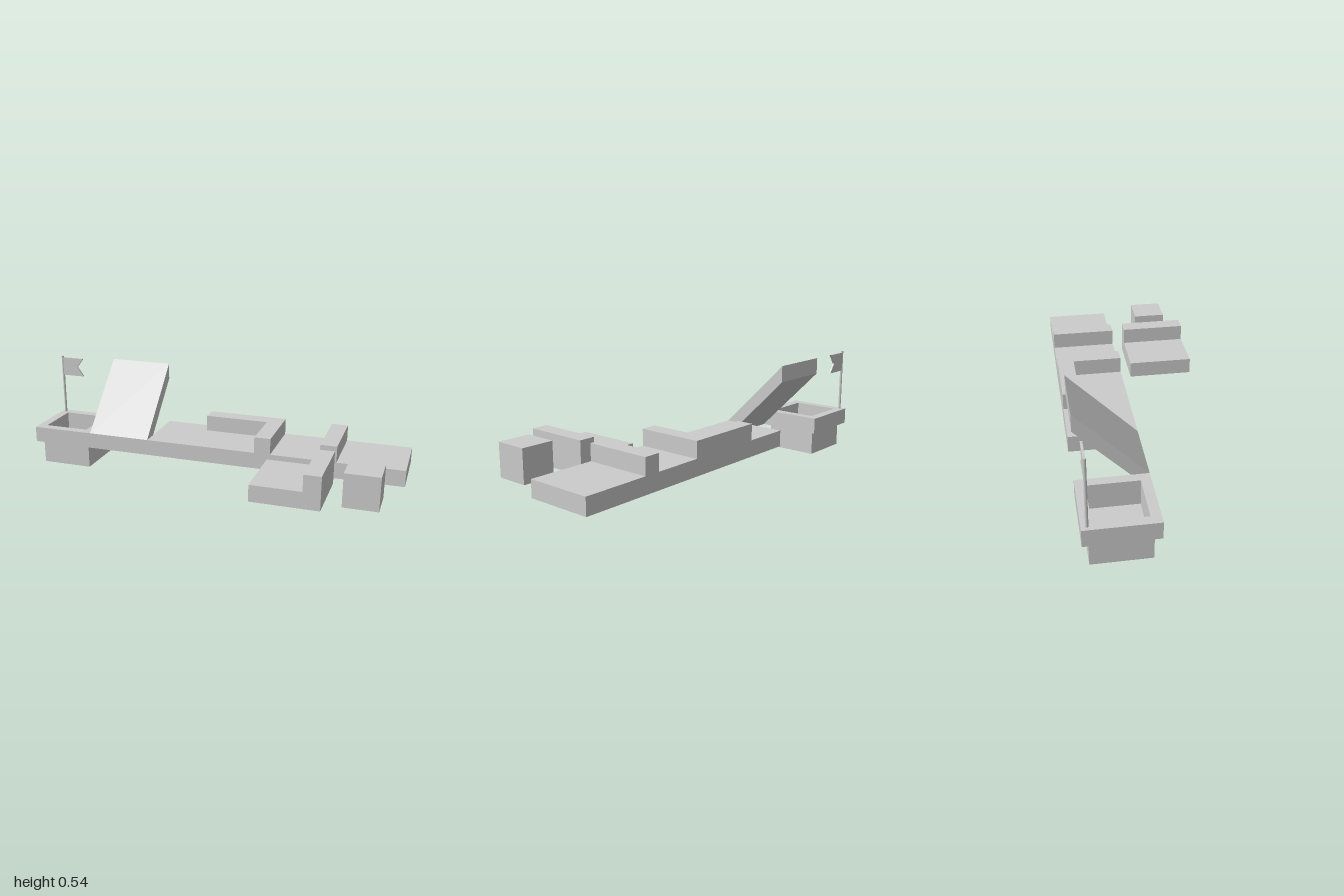
import * as THREE from 'three';

const T = 1 / 3;            // tile side
const H = T / 4;            // tile thickness, also wall height
const BASE = 0.127;         // underside of the tiles
const TOP = BASE + H;       // playing surface
const ROW = -0.2;           // z centre of the main row

export function createModel() {
  const group = new THREE.Group();
  const material = new THREE.MeshStandardMaterial({ color: 0xcccccc });

  function add(name, geometry, x = 0, y = 0, z = 0) {
    const mesh = new THREE.Mesh(geometry, material);
    mesh.name = name;
    mesh.position.set(x, y, z);
    group.add(mesh);
    return mesh;
  }

  // box given by its x, y and z ranges
  function block(name, [x0, x1], [y0, y1], [z0, z1]) {
    return add(name, new THREE.BoxGeometry(x1 - x0, y1 - y0, z1 - z0),
      (x0 + x1) / 2, (y0 + y1) / 2, (z0 + z1) / 2);
  }

  // upright square frame with a square opening
  function frame(name, outer, inner, y, height, x, z) {
    const square = (Kind, s) => new Kind([[-1, -1], [1, -1], [1, 1], [-1, 1]]
      .map(([a, b]) => new THREE.Vector2(a * s / 2, b * s / 2)));
    const shape = square(THREE.Shape, outer);
    shape.holes.push(square(THREE.Path, inner));
    const geometry = new THREE.ExtrudeGeometry(shape, { depth: height, bevelEnabled: false });
    geometry.rotateX(-Math.PI / 2);
    return add(name, geometry, x, y, z);
  }

  const rowZ = [ROW - T / 2, ROW + T / 2];
  const sideZ = [-rowZ[1], -rowZ[0]];
  const slab = [BASE, TOP];
  const wall = [TOP, TOP + H];

  // hole tile with the cup beneath it
  const cupX = -1 + T / 2;
  frame('holeTile', T, 0.24, BASE, H, cupX, ROW);
  frame('cupWall', 0.273, 0.24, 0, BASE, cupX, ROW);
  block('cupFloor', [cupX - 0.121, cupX + 0.121], [0.0005, 0.083], [ROW - 0.121, ROW + 0.121]);

  // flag on the back corner of the hole tile
  const poleX = -0.977, poleZ = -0.341;
  add('flagPole', new THREE.CylinderGeometry(0.0068, 0.0068, 0.333, 8).toNonIndexed(),
    poleX, TOP + 0.1665, poleZ);
  const pennant = new THREE.Shape([[0, 0], [0.129, 0], [0.092, 0.051], [0.129, 0.102], [0, 0.102]]
    .map(p => new THREE.Vector2(...p)));
  add('flag', new THREE.ExtrudeGeometry(pennant, { depth: 0.01, bevelEnabled: false }),
    poleX, 0.433, poleZ - 0.005);

  // banked tile: a slab sheared upward toward the back
  const bank = new THREE.BoxGeometry(T, H, T);
  const pos = bank.attributes.position;
  for (let i = 0; i < pos.count; i++) pos.setY(i, pos.getY(i) + T / 2 - pos.getZ(i));
  bank.computeVertexNormals();
  add('bankedTile', bank, -0.5, BASE + H / 2, ROW);

  // flat run of four tiles
  block('lane', [-T, 1], slab, rowZ);

  // L-shaped corner wall
  block('cornerWallBack', [-H, T], wall, [rowZ[0], rowZ[0] + H]);
  block('cornerWallEnd', [T - H, T], wall, [rowZ[0] + H, rowZ[1]]);

  // raised bars on the lane and on the separate side tile
  block('sideTile', [T, 2 * T], slab, sideZ);
  for (const [name, z] of [['laneBar', rowZ], ['sideTileBar', sideZ]]) {
    block(name, [2 * T - H, 2 * T], wall, z);
  }

  // loose block
  block('looseBlock', [0.75, 0.75 + 2 * H], [BASE, BASE + 2 * H], [0.125, 0.125 + 2 * H]);

  return group;
}
